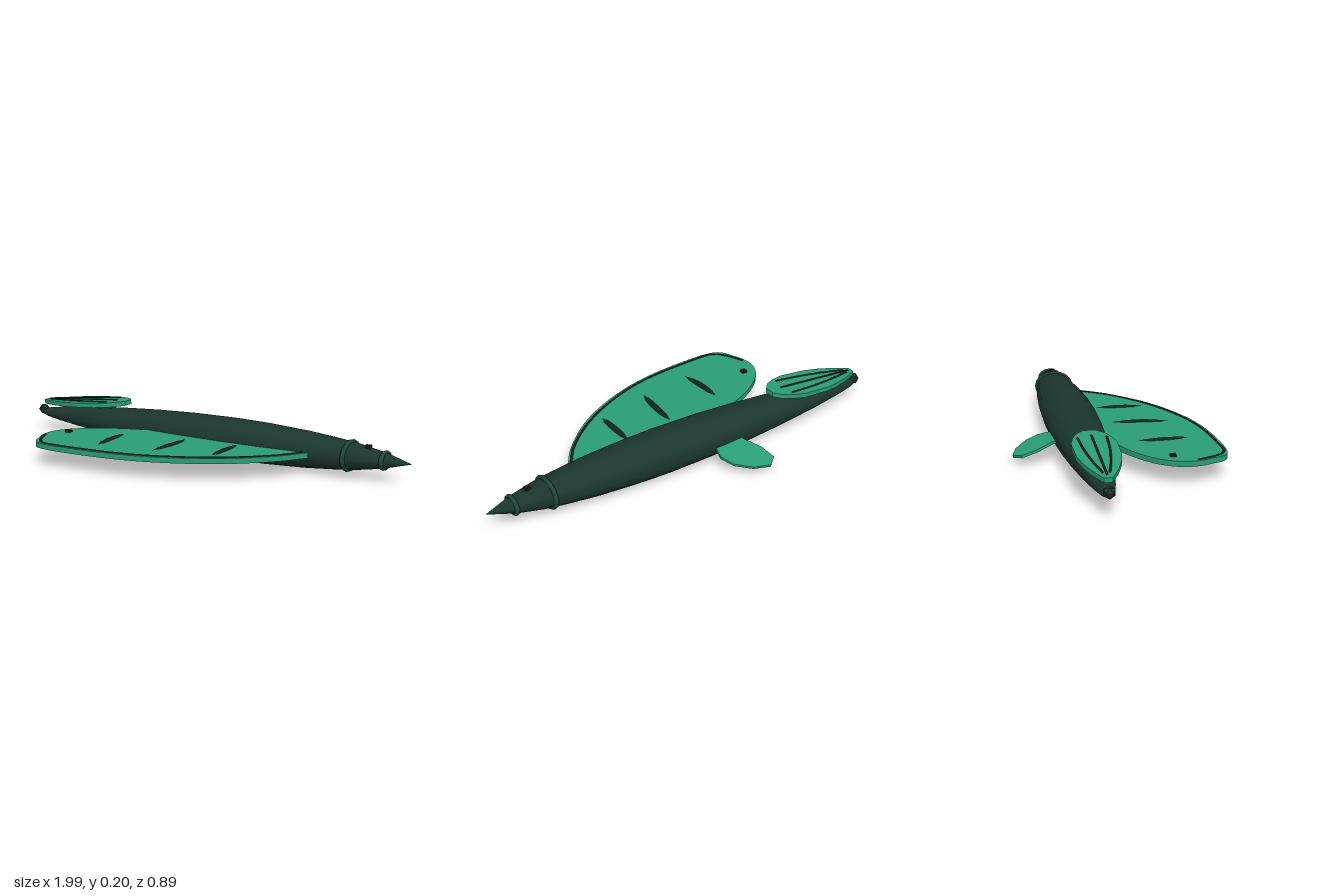
import * as THREE from 'three';

const V = (x, y, z) => new THREE.Vector3(x, y, z);
const mat = (color, flatShading = false) => {
  const m = new THREE.MeshStandardMaterial({ flatShading });
  m.color.set(color);
  return m;
};
const GREEN = mat(0x2a9d76, true);
const BODY = mat(0x1b352e);
const RING = mat(0x1f4539);
const DARK = mat(0x14241f);
const BROWN = mat(0x1f1d12);

const AXIS_Y = 0.098, AXIS_Z = -0.147, FLAT = 0.76;

export function createModel() {
  const root = new THREE.Group();

  const add = (name, geometry, material, parent = root, pos = [0, 0, 0]) => {
    const m = new THREE.Mesh(geometry, material);
    m.name = name;
    m.position.set(...pos);
    parent.add(m);
    return m;
  };

  // Horizontal plate from an x/z outline, centred on y = 0
  const plate = (points, thickness, smooth) => {
    const pts = points.map(([x, z]) => new THREE.Vector2(x, z));
    const shape = new THREE.Shape();
    shape.moveTo(pts[0].x, pts[0].y);
    if (smooth) shape.splineThru(pts.slice(1));
    else pts.slice(1).forEach(p => shape.lineTo(p.x, p.y));
    const g = new THREE.ExtrudeGeometry(shape, { depth: thickness, bevelEnabled: false, curveSegments: 36 });
    g.rotateX(Math.PI / 2);
    g.translate(0, thickness / 2, 0);
    return g;
  };

  const tube = (pts, r, y = 0) => new THREE.TubeGeometry(
    new THREE.CatmullRomCurve3(pts.map(([x, z]) => V(x, y, z)), false, 'centripetal'), 40, r, 6);

  // Spindle body, flattened vertically: [x, radius]
  const profile = [[-0.975, 0], [-0.97, 0.015], [-0.93, 0.03], [-0.85, 0.046], [-0.7, 0.069], [-0.5, 0.092],
    [-0.3, 0.109], [-0.1, 0.12], [0.13, 0.124], [0.3, 0.12], [0.5, 0.107], [0.65, 0.09],
    [0.75, 0.075], [0.87, 0.047], [1, 0]];
  const body = new THREE.LatheGeometry(profile.map(([x, r]) => new THREE.Vector2(r, x)), 14);
  body.rotateZ(-Math.PI / 2).scale(1, FLAT, 1);
  add('body', body, BODY, root, [0, AXIS_Y, AXIS_Z]);

  // Nose rings
  for (const [x, r] of [[0.71, 0.083], [0.875, 0.047]]) {
    const ring = new THREE.TorusGeometry(r, 0.011, 8, 16);
    ring.rotateY(Math.PI / 2).scale(1, FLAT, 1);
    add('noseRing', ring, RING, root, [x, AXIS_Y, AXIS_Z]);
  }

  // Tail knob and nose stud
  add('tailKnob', new THREE.IcosahedronGeometry(0.028, 0), mat(0x1b352e, true), root, [-0.967, 0.109, AXIS_Z]);
  add('noseStud', new THREE.BoxGeometry(0.025, 0.016, 0.022), BROWN, root, [0.798, 0.15, -0.142]);

  // Large wing on the front side
  const wing = new THREE.Group();
  wing.name = 'mainWing';
  wing.position.y = AXIS_Y;
  root.add(wing);
  add('wingBlade', plate([[0.58, -0.08], [0.54, -0.03], [0.46, 0.08], [0.3, 0.225], [0.1, 0.335], [-0.12, 0.405],
    [-0.38, 0.434], [-0.56, 0.423], [-0.62, 0.34], [-0.643, 0.26], [-0.63, 0.185], [-0.57, 0.105],
    [-0.45, 0.025], [-0.3, -0.035], [-0.2, -0.08]], 0.024, true), GREEN, wing);
  add('wingRim', tube([[0.53, -0.04], [0.45, 0.073], [0.29, 0.212], [0.09, 0.322], [-0.12, 0.39],
    [-0.38, 0.418], [-0.54, 0.415], [-0.575, 0.385], [-0.608, 0.33], [-0.628, 0.28]], 0.006, 0.011), DARK, wing);

  // Bowed spindle ribs crossing the wing: [x, z start, z end, bow]
  for (const [x, z0, z1, bow] of [[-0.31, 0.01, 0.39, -0.012], [-0.045, -0.06, 0.36, 0.012], [0.22, -0.08, 0.28, 0]]) {
    const pts = [];
    for (let i = 0; i <= 12; i++) {
      const t = i / 12;
      pts.push(new THREE.Vector2(0.021 * Math.sin(Math.PI * t), z0 + (z1 - z0) * t));
    }
    const rib = new THREE.LatheGeometry(pts, 8).rotateX(Math.PI / 2);
    const p = rib.attributes.position;
    for (let i = 0; i < p.count; i++) {
      const t = (p.getZ(i) - z0) / (z1 - z0);
      p.setX(i, p.getX(i) + bow * Math.sin(Math.PI * t) + 0.03 * (0.5 - t) * Math.sign(bow));
    }
    rib.computeVertexNormals();
    add('wingRib', rib, DARK, wing, [x, 0, 0]);
  }
  add('wingStud', new THREE.BoxGeometry(0.025, 0.014, 0.024), BROWN, wing, [-0.565, 0.016, 0.19]);

  // Leaf-shaped plate tilted above the tail
  const leaf = new THREE.Group();
  leaf.name = 'tailLeaf';
  leaf.position.set(-0.7, 0.176, AXIS_Z);
  leaf.rotation.z = 0.095;
  root.add(leaf);
  const half = [[-0.25, 0.018], [-0.17, 0.055], [-0.1, 0.078], [-0.03, 0.092], [0.1, 0.096],
    [0.16, 0.082], [0.21, 0.058], [0.24, 0.025]];
  const mirrored = half.map(([x, z]) => [x, -z]).reverse();
  add('leafBlade', plate([...half, ...mirrored], 0.021), GREEN, leaf);
  add('leafVein', tube([[-0.23, 0], [0.18, 0]], 0.005, 0.011), DARK, leaf);
  for (const s of [1, -1]) {
    add('leafVein', tube([[-0.21, 0.012 * s], [-0.1, 0.035 * s], [0.04, 0.054 * s], [0.16, 0.061 * s]],
      0.005, 0.011), DARK, leaf);
  }

  // Small drooping fin on the back side
  const fin = add('backFin', plate([[-0.2, 0.07], [-0.23, 0], [-0.275, -0.075], [-0.292, -0.15], [-0.25, -0.186],
    [-0.17, -0.164], [-0.1, -0.112], [-0.07, -0.05], [-0.085, 0.02], [-0.1, 0.07]], 0.012),
    GREEN, root, [0, 0.09, -0.268]);
  fin.rotation.x = -0.26;

  return root;
}
